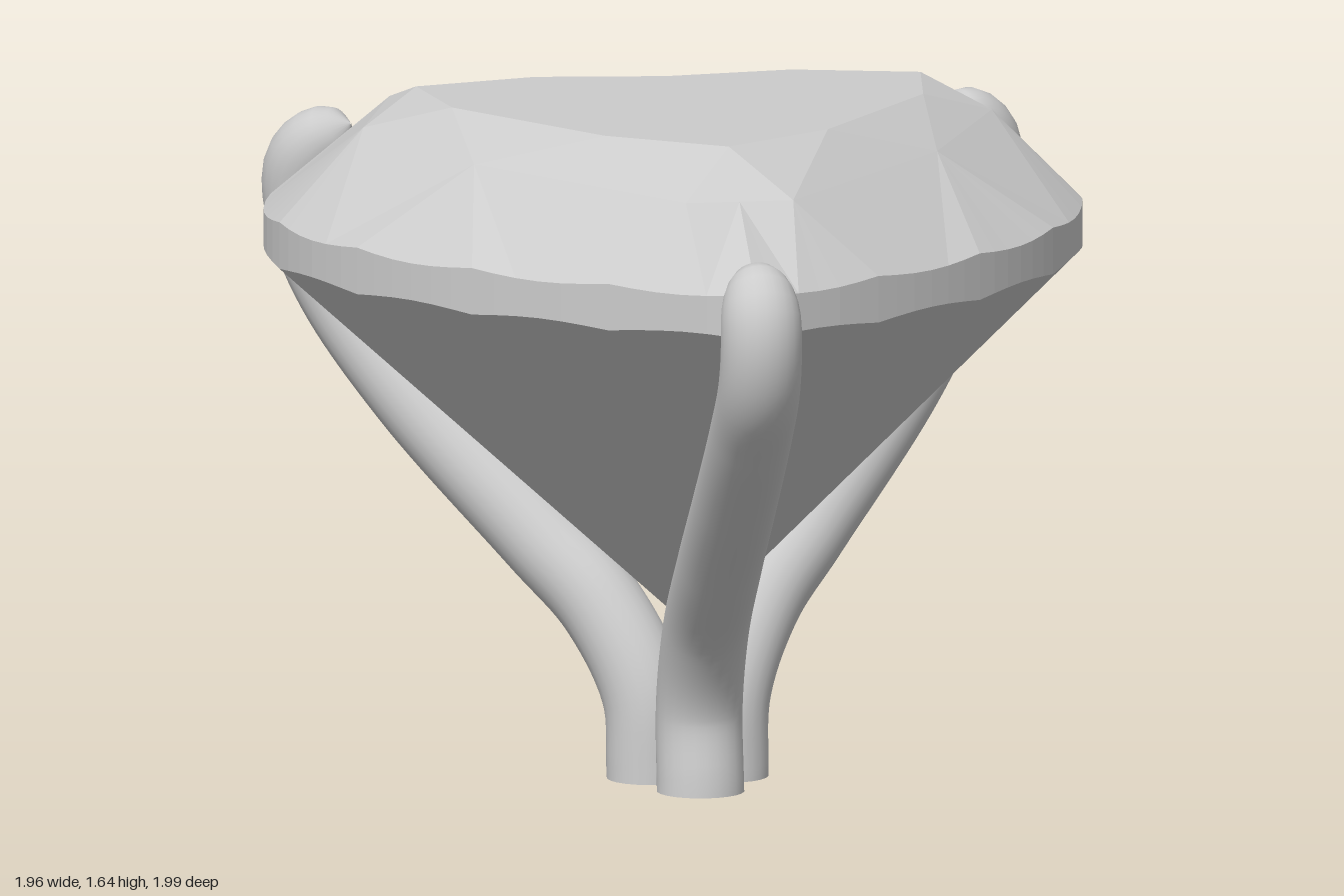
import * as THREE from 'three';
import { mergeVertices } from 'three/addons/utils/BufferGeometryUtils.js';

const V = (x, y, z) => new THREE.Vector3(x, y, z);
const material = new THREE.MeshStandardMaterial({ color: 0xcccccc });

// Heart-cut stone: half of it is built from outline rings, then mirrored in x
function createGem() {
  const TABLE = 1.64, culet = V(0, 0.37, -0.15);
  const outline = new THREE.CatmullRomCurve3([
    [0, 0.83], [0.25, 0.68], [0.5, 0.48], [0.72, 0.24], [0.88, -0.02], [0.96, -0.25],
    [0.98, -0.45], [0.95, -0.64], [0.88, -0.78], [0.78, -0.87], [0.62, -0.935], [0.43, -0.96],
    [0.25, -0.94], [0.12, -0.88], [0.04, -0.79], [0, -0.69],
  ].map(([x, z]) => V(x, 0, z))).getSpacedPoints(48);

  // The girdle is thin and scalloped, and opens into a tall wall at the cleft
  const lower = [], upper = [];
  outline.forEach((p, i) => {
    const inCleft = i > 24 && p.x < 0.43 ? Math.max(0, (0.96 + p.z) / 0.27) : 0;
    const wave = 0.012 * Math.abs(Math.sin(i * Math.PI / 6)) * (1 - inCleft);
    lower.push(V(p.x, 1.242 + wave - 0.285 * inCleft, p.z));
    upper.push(V(p.x, 1.355 - wave + 0.2 * Math.pow(inCleft, 0.8), p.z));
  });
  const crown = [
    [0, 1.535, 0.57], [0.13, 1.535, 0.57], [0.56, 1.55, 0.06], [0.76, 1.57, -0.36],
    [0.64, 1.58, -0.71], [0.31, 1.53, -0.75], [0, 1.6, -0.6],
  ].map(p => V(...p));
  const table = [
    [0, 0.41], [0.27, 0.22], [0.57, -0.21], [0.61, -0.5], [0.31, -0.58], [0, -0.54],
  ].map(([x, z]) => V(x, TABLE, z));

  const pos = [];
  const tri = (a, b, c) => {
    for (const p of [a, b, c]) pos.push(p.x, p.y, p.z);
    for (const p of [a, c, b]) pos.push(-p.x, p.y, p.z);
  };
  // Joins two rings of different counts, always taking the shorter diagonal
  const stitch = (a, b) => {
    let i = 0, j = 0;
    while (i < a.length - 1 || j < b.length - 1) {
      const stepA = j === b.length - 1 ||
        (i < a.length - 1 && a[i + 1].distanceTo(b[j]) < a[i].distanceTo(b[j + 1]));
      if (stepA) { tri(a[i], a[i + 1], b[j]); i++; }
      else { tri(a[i], b[j + 1], b[j]); j++; }
    }
  };

  for (let i = 0; i < lower.length - 1; i++) {
    tri(lower[i + 1], lower[i], culet);
    tri(lower[i], lower[i + 1], upper[i + 1]);
    tri(lower[i], upper[i + 1], upper[i]);
  }
  stitch(upper, crown);
  stitch(crown, table);
  const centre = V(0, TABLE, -0.2);
  for (let i = 0; i < table.length - 1; i++) tri(table[i], table[i + 1], centre);

  const geo = new THREE.BufferGeometry();
  geo.setAttribute('position', new THREE.Float32BufferAttribute(pos, 3));
  geo.computeVertexNormals();
  const gemMaterial = material.clone();
  gemMaterial.flatShading = true;
  const gem = new THREE.Mesh(geo, gemMaterial);
  gem.name = 'heartGem';
  return gem;
}

// Round claw swept along a path, with a rounded tip and a flat foot
function createProng(name, points) {
  const RINGS = 64, SIDES = 24, R = 0.105, TIP = 0.91;
  const curve = new THREE.CatmullRomCurve3(points.map(p => V(...p)));
  const geo = new THREE.TubeGeometry(curve, RINGS, R, SIDES);
  const pos = geo.attributes.position, v = V(0, 0, 0);
  for (let i = 0; i <= RINGS; i++) {
    const t = i / RINGS, c = curve.getPointAt(t);
    const k = Math.max(0, (t - TIP) / (1 - TIP));
    const scale = (1 - 0.08 * t) * Math.sqrt(Math.max(0.0004, 1 - k * k));
    for (let j = 0; j <= SIDES; j++) {
      const n = i * (SIDES + 1) + j;
      v.fromBufferAttribute(pos, n).sub(c).multiplyScalar(scale).add(c);
      pos.setXYZ(n, v.x, i === 0 ? 0 : Math.max(0, v.y), v.z);
    }
  }
  geo.deleteAttribute('uv');
  geo.deleteAttribute('normal');
  const smooth = mergeVertices(geo);
  smooth.computeVertexNormals();

  const group = new THREE.Group();
  group.name = name;
  const claw = new THREE.Mesh(smooth, material);
  claw.name = 'claw';
  const foot = new THREE.Mesh(new THREE.CircleGeometry(R, SIDES).rotateX(Math.PI / 2), material);
  foot.name = 'foot';
  foot.position.set(points[0][0], 0, points[0][2]);
  group.add(claw, foot);
  return group;
}

export function createModel() {
  const model = new THREE.Group();
  model.name = 'heartGemSetting';
  model.add(createGem());

  model.add(createProng('frontProng', [
    [0, 0, -0.015], [0, 0.2, -0.035], [0, 0.4, 0.06], [0, 0.6, 0.27], [0, 0.8, 0.51],
    [0, 1.0, 0.74], [0, 1.14, 0.87], [0, 1.26, 0.9], [0, 1.34, 0.875], [0, 1.41, 0.79],
  ]));
  for (const [name, s] of [['backLeftProng', 1], ['backRightProng', -1]]) {
    model.add(createProng(name, [
      [0.09, 0, -0.21], [0.1, 0.2, -0.23], [0.19, 0.4, -0.32], [0.32, 0.55, -0.43],
      [0.59, 0.86, -0.66], [0.75, 1.1, -0.83], [0.81, 1.26, -0.89], [0.82, 1.38, -0.885],
      [0.785, 1.45, -0.85], [0.72, 1.5, -0.8],
    ].map(([x, y, z]) => [s * x, y, z])));
  }
  return model;
}
